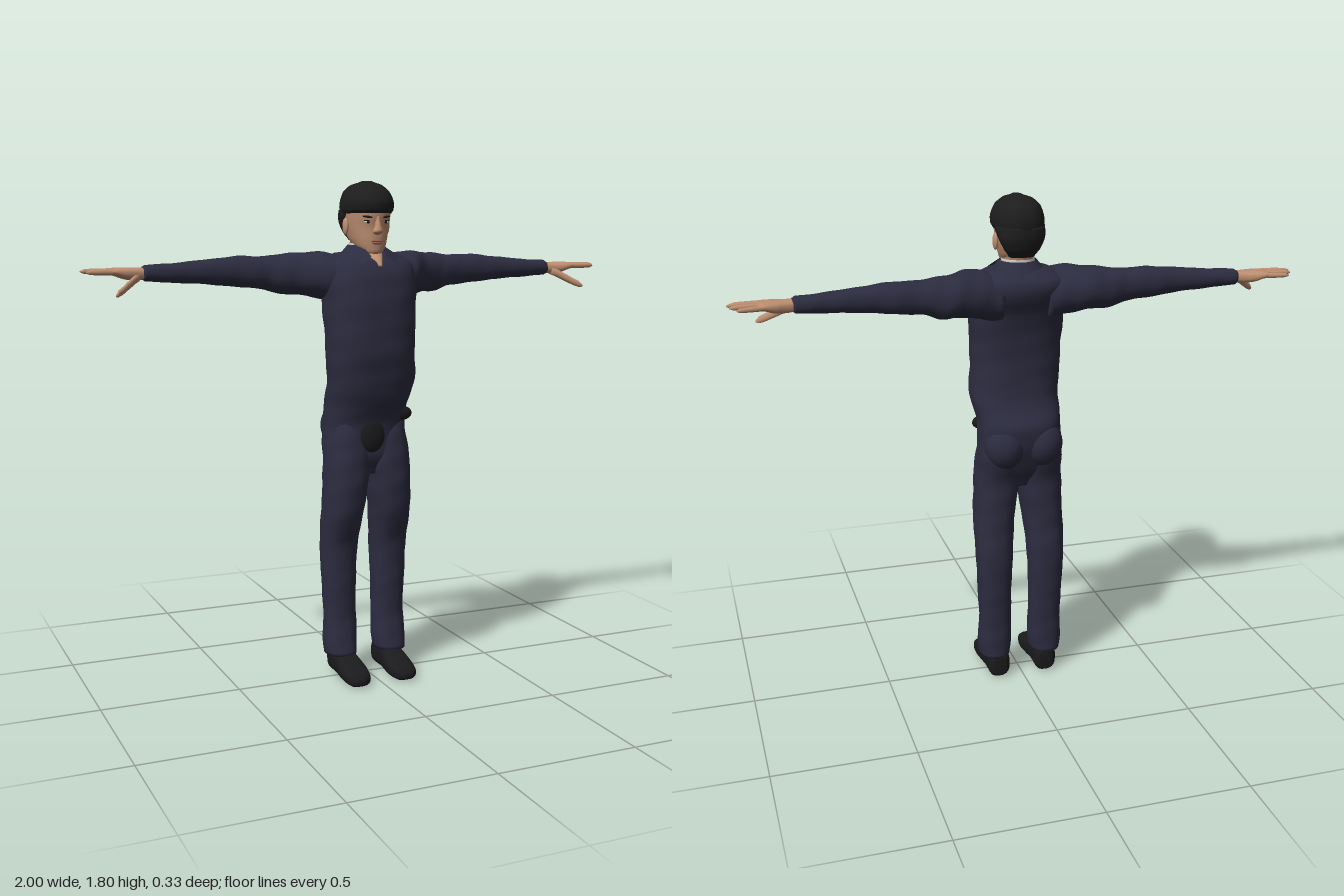
import * as THREE from 'three';

const mat = (name, color, side = THREE.FrontSide) => {
  const m = new THREE.MeshStandardMaterial({ color, side });
  m.name = name;
  return m;
};

// Smooth body through cross-sections [t, uMin, uMax, vMin, vMax] along an axis.
// n is the squareness of the rings, fold the depth of the cloth wrinkles.
function loft(rows, axis = 'y', { n = 2.2, seg = 28, steps = 5, fold = 0 } = {}) {
  const [ti, ui, vi] = { x: [0, 1, 2], y: [1, 0, 2], z: [2, 0, 1] }[axis];
  const pos = [], idx = [];
  const count = (rows.length - 1) * steps;
  const sample = (k) => {
    const i = Math.min(Math.floor(k / steps), rows.length - 2), f = k / steps - i;
    return rows[i].map((b, j) => {
      const c = rows[i + 1][j];
      const a = rows[Math.max(i - 1, 0)][j], d = rows[Math.min(i + 2, rows.length - 1)][j];
      if (j === 0) return b + (c - b) * f;
      const m0 = (c - a) / 2, m1 = (d - b) / 2;
      return (2 * f ** 3 - 3 * f * f + 1) * b + (f ** 3 - 2 * f * f + f) * m0
        + (3 * f * f - 2 * f ** 3) * c + (f ** 3 - f * f) * m1;
    });
  };
  const put = (t, u, v) => {
    const p = [0, 0, 0];
    p[ti] = t; p[ui] = u; p[vi] = v;
    pos.push(...p);
  };
  const bend = (x) => Math.sign(x) * Math.abs(x) ** (2 / n);
  for (let k = 0; k <= count; k++) {
    const [t, u0, u1, v0, v1] = sample(k);
    for (let s = 0; s < seg; s++) {
      const a = (s / seg) * Math.PI * 2;
      const r = 1 + fold * (Math.sin(t * 67 + 2 * a) + Math.sin(t * 41 - 3 * a + 1));
      put(t, (u0 + u1) / 2 + (u1 - u0) / 2 * r * bend(Math.cos(a)),
        (v0 + v1) / 2 + (v1 - v0) / 2 * r * bend(Math.sin(a)));
      if (k < count) {
        const p = k * seg + s, q = k * seg + (s + 1) % seg;
        idx.push(p, p + seg, q, q, p + seg, q + seg);
      }
    }
  }
  // end caps
  for (const [k, flip] of [[0, false], [count, true]]) {
    const [t, u0, u1, v0, v1] = sample(k), c = pos.length / 3;
    put(t, (u0 + u1) / 2, (v0 + v1) / 2);
    for (let s = 0; s < seg; s++) {
      const p = k * seg + s, q = k * seg + (s + 1) % seg;
      idx.push(...(flip ? [c, q, p] : [c, p, q]));
    }
  }
  // turn the faces outwards if the signed volume is negative
  let vol = 0;
  const A = new THREE.Vector3(), B = new THREE.Vector3(), C = new THREE.Vector3();
  for (let i = 0; i < idx.length; i += 3) {
    A.fromArray(pos, idx[i] * 3); B.fromArray(pos, idx[i + 1] * 3); C.fromArray(pos, idx[i + 2] * 3);
    vol += A.dot(B.cross(C));
  }
  if (vol < 0) idx.reverse();
  const g = new THREE.BufferGeometry();
  g.setAttribute('position', new THREE.Float32BufferAttribute(pos, 3));
  g.setIndex(idx);
  g.computeVertexNormals();
  return g;
}

export function createModel() {
  const root = new THREE.Group();
  root.name = 'standingMan';
  const cloth = mat('navyCloth', 0x2c2c40), clothOpen = cloth;
  cloth.side = THREE.DoubleSide;
  const skin = mat('skin', 0xbd8e70), hair = mat('blackHair', 0x1d1d1d);
  const leather = mat('blackLeather', 0x1b1b1d), white = mat('white', 0xd6d3ce, THREE.DoubleSide);
  const lip = mat('lips', 0x8f5f50);

  const add = (name, geo, m, parent = root) => {
    const mesh = new THREE.Mesh(geo, m);
    mesh.name = name;
    parent.add(mesh);
    return mesh;
  };
  const ball = (name, m, x, y, z, rx, ry, rz) => {
    const g = new THREE.SphereGeometry(1, 20, 14).scale(rx, ry, rz).translate(x, y, z);
    return add(name, g, m);
  };
  // symmetric cross-sections [y, halfWidth, zBack, zFront]
  const sym = (rows) => rows.map(([y, w, b, f]) => [y, -w, w, b, f]);

  // Shirt and hips
  add('torso', loft([
    [0.76, -.05, .05, -.07, .05], [0.82, -.135, .135, -.10, .072], [0.88, -.153, .153, -.125, .075],
    [0.94, -.15, .15, -.14, .08], [1.00, -.148, .15, -.142, .10], [1.05, -.15, .158, -.115, .12],
    [1.10, -.152, .168, -.096, .132], [1.20, -.16, .16, -.09, .15], [1.30, -.165, .162, -.095, .152],
    [1.40, -.17, .168, -.115, .148], [1.47, -.175, .175, -.145, .135], [1.52, -.165, .165, -.145, .11],
    [1.55, -.11, .11, -.10, .062], [1.558, -.06, .06, -.06, .03],
  ], 'y', { n: 2.5, seg: 40, fold: .006 }), cloth);

  // Neck with the open throat, undershirt and collar
  add('neck', loft(sym([
    [1.505, .01, .05, .128], [1.53, .028, -.04, .11], [1.55, .045, -.06, .078],
    [1.57, .05, -.068, .045], [1.62, .055, -.08, .04],
  ])), skin);
  const ring = (name, top, bottom, h, y, gap, m) => add(name,
    new THREE.CylinderGeometry(top, bottom, h, 32, 2, true, gap, Math.PI * 2 - gap * 2)
      .scale(1, 1, 1.05).translate(0, y, -.012), m);
  ring('undershirt', .058, .06, .04, 1.565, .9, white);
  ring('collar', .064, .108, .052, 1.552, .62, clothOpen);

  // Head and face
  add('head', loft(sym([
    [1.543, .02, .03, .075], [1.553, .036, 0, .087], [1.575, .052, -.04, .09], [1.60, .063, -.08, .092],
    [1.64, .073, -.105, .093], [1.68, .077, -.11, .10], [1.72, .078, -.11, .098],
    [1.76, .062, -.085, .07], [1.785, .03, -.04, .03],
  ]), 'y', { seg: 36 }), skin);
  add('nose', loft(sym([
    [1.614, .009, .08, .10], [1.624, .018, .08, .114], [1.64, .012, .08, .112], [1.678, .007, .08, .10],
  ]), 'y', { seg: 16 }), skin);
  ball('upperLip', lip, 0, 1.592, .089, .023, .004, .007);
  ball('lowerLip', lip, 0, 1.585, .088, .019, .005, .007);

  // Hair
  add('hairCap', loft(sym([
    [1.688, .083, -.118, .10], [1.70, .088, -.121, .11], [1.73, .088, -.12, .112],
    [1.765, .075, -.105, .09], [1.787, .05, -.075, .06], [1.80, .015, -.03, .025],
  ]), 'y', { seg: 36, fold: .006 }), hair);
  add('backHair', loft(sym([
    [1.595, .045, -.085, -.03], [1.62, .062, -.105, -.02], [1.66, .081, -.118, .005], [1.70, .086, -.12, .055],
  ]), 'y', { fold: .006 }), hair);

  // Dark patches below the shirt hem
  ball('flyPatch', leather, -.01, .905, .068, .05, .065, .022);
  ball('waistPatch', leather, .118, .975, .054, .035, .025, .016);

  for (const [side, s] of [['left', 1], ['right', -1]]) {
    // mirror the first range (x) of a cross-section, or its position along x
    const flipU = (rows) => rows.map(([t, a, b, c, d]) => (s > 0 ? [t, a, b, c, d] : [t, -b, -a, c, d]));
    const flipT = (rows) => rows.map(([t, ...r]) => [t * s, ...r]);

    // Face details
    ball(side + 'Ear', skin, s * .079, 1.643, -.008, .009, .03, .019);
    ball(side + 'Eye', white, s * .033, 1.658, .084, .013, .005, .006);
    ball(side + 'Iris', leather, s * .033, 1.658, .088, .006, .005, .004);
    ball(side + 'EyeLine', leather, s * .034, 1.663, .086, .016, .0025, .006);
    const brow = ball(side + 'Eyebrow', hair, 0, 0, 0, .02, .004, .006);
    brow.position.set(s * .035, 1.676, .089);
    brow.rotation.set(0, s * .3, s * .12);

    // Collar tip folded over the chest
    const flap = new THREE.BufferGeometry();
    flap.setAttribute('position', new THREE.Float32BufferAttribute([
      s * .04, 1.578, .046, s * .115, 1.53, .055, s * .062, 1.515, .118, s * .028, 1.54, .105], 3));
    flap.setIndex(s > 0 ? [0, 2, 1, 0, 3, 2] : [0, 1, 2, 0, 2, 3]);
    flap.computeVertexNormals();
    add(side + 'CollarTip', flap, clothOpen);

    // Sleeve
    add(side + 'Sleeve', loft(flipT([
      [.08, 1.37, 1.54, -.14, .10], [.17, 1.39, 1.555, -.153, .07], [.24, 1.405, 1.552, -.165, .012],
      [.30, 1.405, 1.546, -.156, -.012], [.36, 1.425, 1.54, -.145, -.03], [.45, 1.433, 1.541, -.141, -.04],
      [.55, 1.444, 1.532, -.131, -.045], [.68, 1.452, 1.52, -.128, -.05], [.78, 1.458, 1.514, -.126, -.058],
      [.79, 1.464, 1.508, -.12, -.064],
    ]), 'x', { fold: .016 }), cloth);

    // Hand with fingers and thumb
    add(side + 'Palm', loft(flipT([
      [.77, 1.467, 1.505, -.118, -.066], [.81, 1.463, 1.506, -.125, -.06], [.85, 1.466, 1.507, -.138, -.052],
      [.885, 1.478, 1.506, -.145, -.05], [.905, 1.484, 1.502, -.142, -.053],
    ]), 'x', { n: 2.6 }), skin);
    const digit = (name, a, b, r) => add(side + name, loft(flipT(
      [[0, r], [.5, r * .92], [.88, r * .75], [1, r * .25]].map(([f, q]) => {
        const [x, y, z] = a.map((v, i) => v + (b[i] - v) * f);
        return [x, y - q, y + q, z - q, z + q];
      })), 'x', { seg: 12, steps: 3 }), skin);
    digit('LittleFinger', [.88, 1.491, -.134], [.972, 1.49, -.146], .0095);
    digit('RingFinger', [.88, 1.493, -.111], [.992, 1.494, -.118], .0105);
    digit('MiddleFinger', [.88, 1.494, -.087], [1, 1.495, -.088], .011);
    digit('IndexFinger', [.88, 1.492, -.063], [.985, 1.492, -.059], .0105);
    digit('Thumb', [.805, 1.475, -.075], [.902, 1.417, .003], .0155);

    // Seat and trouser leg
    ball(side + 'Seat', cloth, s * .068, .925, -.085, .075, .085, .072);
    add(side + 'TrouserLeg', loft(flipU([
      [.08, .042, .155, -.09, .043], [.14, .035, .16, -.09, .032], [.22, .036, .155, -.09, .02],
      [.35, .036, .16, -.10, .025], [.50, .03, .165, -.108, .035], [.60, .022, .166, -.10, .072],
      [.70, .009, .163, -.098, .088], [.80, -.005, .16, -.10, .088], [.88, 0, .154, -.125, .08],
      [.95, .01, .143, -.125, .066],
    ]), 'y', { n: 2.3, fold: .01 }), cloth);

    // Shoe
    add(side + 'Shoe', loft(flipU([
      [-.09, .065, .115, .008, .085], [-.075, .05, .13, 0, .10], [0, .05, .132, 0, .097], [.05, .043, .138, 0, .08],
      [.10, .04, .14, 0, .062], [.15, .05, .132, 0, .048], [.168, .075, .112, .008, .03],
    ]), 'z', { n: 2.8 }), leather);
  }
  return root;
}
